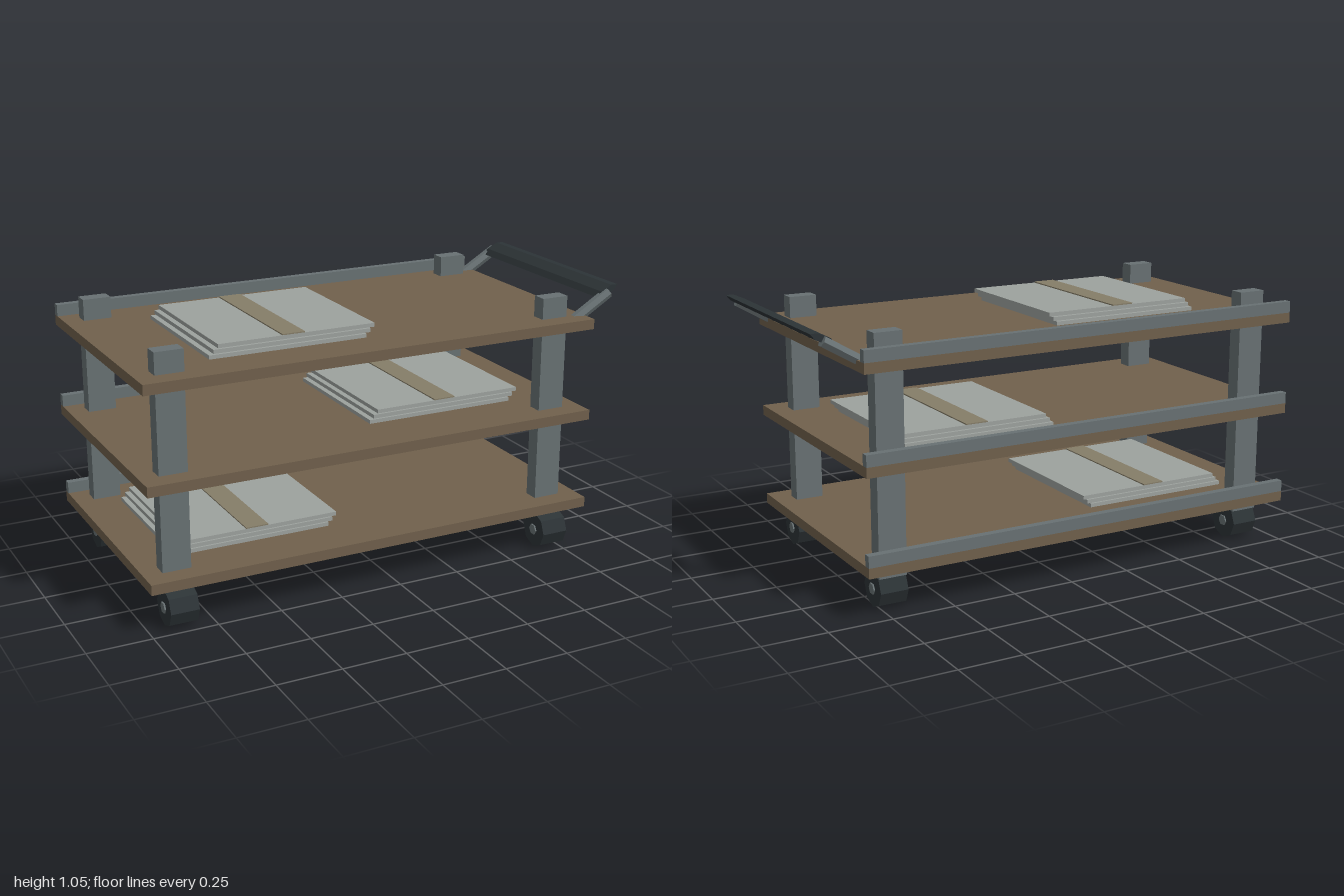
import * as THREE from 'three';

const material = (color) => new THREE.MeshStandardMaterial({ color, flatShading: true });

export function createModel() {
  const cart = new THREE.Group();
  cart.name = 'utilityCart';
  const wood = material(0x70604c), metal = material(0x687173), rubber = material(0x2c3336);
  const card = material(0x9da29e), tape = material(0x857d68);

  const add = (name, geometry, mat) => {
    const mesh = new THREE.Mesh(geometry, mat);
    mesh.name = name;
    cart.add(mesh);
    return mesh;
  };
  // Box given by its lower and upper limits on each axis
  const box = (name, mat, [x0, x1], [y0, y1], [z0, z1]) => {
    const mesh = add(name, new THREE.BoxGeometry(x1 - x0, y1 - y0, z1 - z0), mat);
    mesh.position.set((x0 + x1) / 2, (y0 + y1) / 2, (z0 + z1) / 2);
    return mesh;
  };

  // Shelves with a back rail and a taped stack of flat cartons
  const shelves = [
    { top: 0.207, x: -0.505, z: 0 },
    { top: 0.577, x: 0.32, z: -0.04 },
    { top: 0.947, x: -0.36, z: 0.03 },
  ];
  for (const { top, x, z } of shelves) {
    box('shelf', wood, [-1, 0.84], [top - 0.04, top], [-0.5, 0.5]);
    box('backRail', metal, [-1, 0.84], [top, top + 0.045], [-0.5, -0.47]);
    for (let i = 0; i < 3; i++) {
      const cx = x + (i - 1) * 0.017, y = top + i * 0.0187;
      box('flatCarton', card, [cx - 0.313, cx + 0.313], [y, y + 0.015], [z - 0.3, z + 0.3]);
    }
    box('tapeStrip', tape, [x - 0.045, x + 0.045], [top + 0.0525, top + 0.057], [z - 0.3, z + 0.3]);
  }

  // Corner posts and trailing casters
  const wheelGeometry = new THREE.CylinderGeometry(0.0725, 0.0725, 0.11, 8).rotateZ(Math.PI / 2);
  const hubGeometry = new THREE.CylinderGeometry(0.022, 0.022, 0.122, 6).rotateZ(Math.PI / 2);
  for (const x of [-0.873, 0.71]) {
    for (const z of [-0.39, 0.39]) {
      box('post', metal, [x - 0.055, x + 0.055], [0.125, 1.03], [z - 0.03, z + 0.03]);
      add('wheel', wheelGeometry, rubber).position.set(x, 0.0725, z + 0.03);
      add('wheelHub', hubGeometry, metal).position.set(x, 0.0725, z + 0.03);
    }
  }

  // Push handle: two sloping arms and a flattened grip
  const start = new THREE.Vector2(0.765, 0.908), end = new THREE.Vector2(0.957, 1.022);
  const slope = end.clone().sub(start).angle();
  for (const z of [-0.42, 0.42]) {
    const arm = add('handleArm', new THREE.CylinderGeometry(0.022, 0.022, start.distanceTo(end), 6), metal);
    arm.position.set((start.x + end.x) / 2, (start.y + end.y) / 2, z);
    arm.rotation.z = slope - Math.PI / 2;
  }
  const gripGeometry = new THREE.CylinderGeometry(1, 1, 0.84, 6)
    .rotateX(Math.PI / 2).rotateZ(Math.PI / 2)
    .scale(0.052, 0.0145, 1).rotateZ(0.43);
  add('handleGrip', gripGeometry, rubber).position.set(0.953, 1.028, 0);

  return cart;
}
